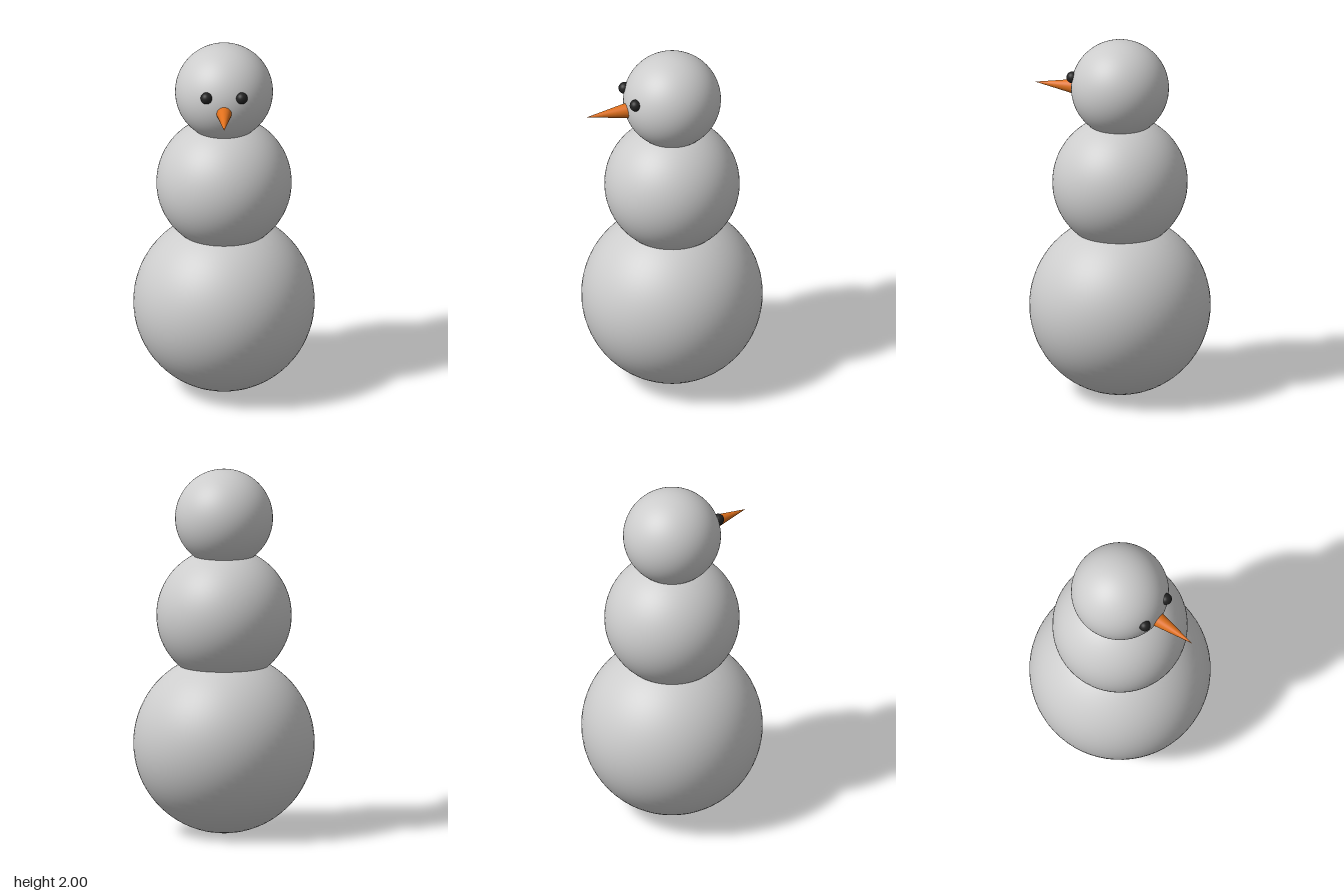
import * as THREE from 'three';

export function createModel() {
  const model = new THREE.Group();
  model.name = 'snowman';

  const snow = new THREE.MeshStandardMaterial({ color: 0xcccccc });
  snow.name = 'snow';
  const coal = new THREE.MeshStandardMaterial({ color: 0x222222 });
  coal.name = 'coal';
  const carrot = new THREE.MeshStandardMaterial({ color: 0xe0701c });
  carrot.name = 'carrot';

  const add = (name, geometry, material, x, y, z) => {
    const mesh = new THREE.Mesh(geometry, material);
    mesh.name = name;
    mesh.position.set(x, y, z);
    model.add(mesh);
    return mesh;
  };

  // Three stacked snowballs: name, radius, centre height
  const balls = [
    ['base', 0.493, 0.495],
    ['torso', 0.368, 1.198],
    ['head', 0.266, 1.734],
  ];
  for (const [name, radius, y] of balls) {
    add(name, new THREE.SphereGeometry(radius, 64, 40), snow, 0, y, 0);
  }

  // Coal eyes, half sunk into the head
  const eye = new THREE.SphereGeometry(0.032, 24, 16);
  add('leftEye', eye, coal, 0.096, 1.797, 0.241);
  add('rightEye', eye, coal, -0.096, 1.797, 0.241);

  // Carrot nose pointing forward, its base just inside the head
  const length = 0.247;
  const nose = new THREE.ConeGeometry(0.0437, length, 32);
  nose.rotateX(Math.PI / 2);
  add('nose', nose, carrot, 0, 1.713, 0.492 - length / 2);

  return model;
}
